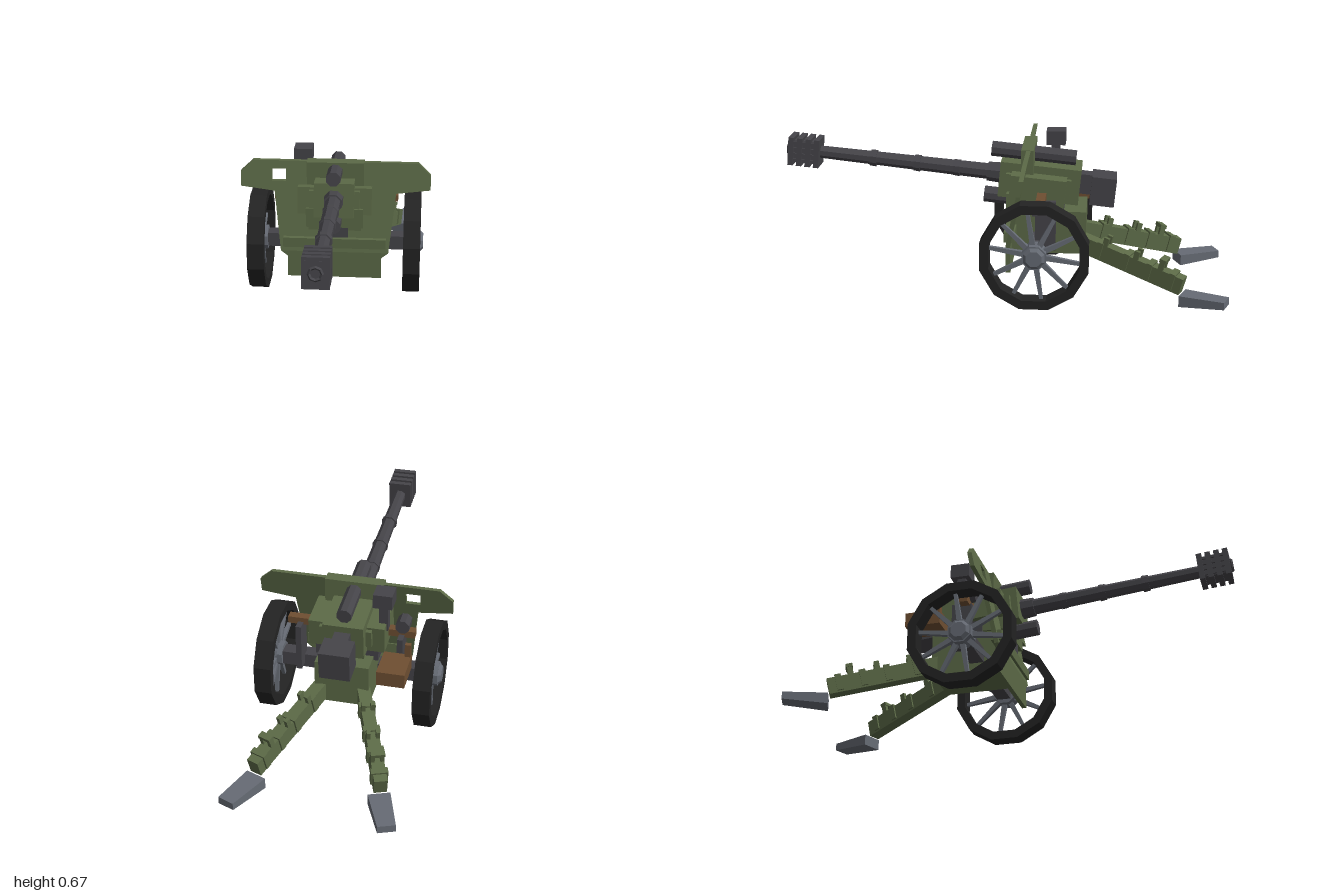
import * as THREE from 'three';

const paint = (name, color) => {
  const m = new THREE.MeshStandardMaterial({ color, flatShading: true });
  m.name = name;
  return m;
};

export function createModel() {
  const green = paint('olive paint', 0x5c6a47);
  const metal = paint('gun metal', 0x454449);
  const steel = paint('wheel steel', 0x666b74);
  const rubber = paint('tyre black', 0x232323);
  const wood = paint('brown wood', 0x6f4f32);

  const model = new THREE.Group();
  model.name = 'fieldGun';

  const add = (parent, name, geo, mat, x = 0, y = 0, z = 0) => {
    const mesh = new THREE.Mesh(geo, mat);
    mesh.name = name;
    mesh.position.set(x, y, z);
    parent.add(mesh);
    return mesh;
  };
  // Box given by its lower and upper limits on each axis
  const block = (parent, name, mat, [x0, x1], [y0, y1], [z0, z1]) =>
    add(parent, name, new THREE.BoxGeometry(x1 - x0, y1 - y0, z1 - z0), mat,
      (x0 + x1) / 2, (y0 + y1) / 2, (z0 + z1) / 2);
  // Octagonal rod along z, from z0 (radius r0) to z1 (radius r1)
  const rod = (parent, name, mat, r0, r1, z0, z1, x = 0, y = 0) => {
    const g = new THREE.CylinderGeometry(r1, r0, z1 - z0, 8);
    g.rotateY(Math.PI / 8).rotateX(Math.PI / 2);
    return add(parent, name, g, mat, x, y, (z0 + z1) / 2);
  };

  // Shield: leaning upper plate with a sight window, upright lower apron
  const plate = (name, half, slope, hole) => {
    const pts = [...half, ...half.slice().reverse().map(([x, y]) => [-x, y])];
    const shape = new THREE.Shape(pts.map(([x, y]) => new THREE.Vector2(x, y)));
    if (hole) shape.holes.push(new THREE.Path(hole.map(([x, y]) => new THREE.Vector2(x, y))));
    const g = new THREE.ExtrudeGeometry(shape, { depth: 0.02, bevelEnabled: false });
    const p = g.attributes.position;
    for (let i = 0; i < p.count; i++) p.setZ(i, p.getZ(i) - 0.04 - (p.getY(i) - 0.226) * slope);
    g.computeVertexNormals();
    add(model, name, g, green);
  };
  plate('upperShield',
    [[0.247, 0.226], [0.277, 0.499], [0.432, 0.518], [0.432, 0.585], [0.375, 0.637]], 0.2,
    [[-0.29, 0.545], [-0.29, 0.6], [-0.225, 0.6], [-0.225, 0.545]]);
  plate('lowerShield', [[0.215, 0.1], [0.215, 0.2], [0.247, 0.226]], 0);
  block(model, 'shieldLedge', green, [-0.235, 0.235], [0.248, 0.294], [-0.06, -0.012]);
  block(model, 'shieldCrown', green, [-0.13, 0.13], [0.53, 0.639], [-0.135, -0.08]);

  // Carriage and axle
  block(model, 'carriage', green, [-0.12, 0.12], [0.165, 0.36], [-0.37, -0.04]);
  block(model, 'axle', metal, [-0.33, 0.33], [0.2, 0.265], [-0.19, -0.125]);
  block(model, 'cradleStep', green, [-0.13, 0.13], [0.35, 0.44], [-0.24, -0.015]);
  block(model, 'cradleFoot', metal, [-0.062, 0.062], [0.3, 0.36], [-0.15, -0.018]);
  block(model, 'trunnionBlock', metal, [-0.14, 0.14], [0.34, 0.44], [-0.27, -0.13]);

  // Elevated gun: local origin on the bore axis
  const gun = new THREE.Group();
  gun.name = 'gun';
  gun.position.set(0, 0.498, 0);
  gun.rotation.x = -0.095;
  model.add(gun);
  block(gun, 'gunHousing', green, [-0.09, 0.09], [-0.085, 0.075], [-0.34, 0.02]);
  block(gun, 'housingSides', green, [-0.168, 0.168], [-0.085, 0.04], [-0.28, -0.035]);
  block(gun, 'housingCheeks', green, [-0.115, 0.115], [-0.05, 0.03], [-0.3, -0.01]);
  rod(gun, 'barrelCollar', metal, 0.047, 0.043, 0, 0.08);
  rod(gun, 'barrel', metal, 0.036, 0.028, 0.05, 0.86);
  for (const z of [0.22, 0.4, 0.6]) rod(gun, 'barrelRing', metal, 0.038, 0.036, z - 0.015, z + 0.015);
  rod(gun, 'lowerRecoilCylinder', metal, 0.036, 0.036, -0.1, 0.085, 0, -0.107);
  rod(gun, 'upperRecoilCylinder', metal, 0.034, 0.034, -0.31, 0.07, 0, 0.108);
  block(gun, 'breechNeck', metal, [-0.035, 0.035], [-0.045, 0.045], [-0.4, -0.33]);
  block(gun, 'breechBlock', metal, [-0.067, 0.067], [-0.083, 0.047], [-0.5, -0.39]);

  // Ribbed muzzle brake
  block(gun, 'muzzleCore', metal, [-0.042, 0.042], [-0.05, 0.05], [0.85, 0.985]);
  for (let i = 0; i < 4; i++) {
    const z = 0.843 + i * 0.039;
    block(gun, 'muzzleRib', metal, [-0.054, 0.054], [-0.064, 0.064], [z, z + 0.024]);
  }
  const lip = new THREE.TorusGeometry(0.026, 0.007, 4, 8);
  add(gun, 'muzzleLip', lip, metal, 0, 0, 0.989);
  for (const y of [-0.04, -0.013, 0.013, 0.04])
    block(gun, 'muzzleSlat', metal, [-0.05, 0.05], [y - 0.006, y + 0.006], [0.843, 0.984]);

  // Sight, aiming knobs, seats and crate
  block(model, 'sightBox', metal, [-0.197, -0.113], [0.603, 0.667], [-0.265, -0.178]);
  block(model, 'sightStem', metal, [-0.175, -0.135], [0.48, 0.605], [-0.24, -0.2]);
  rod(model, 'aimingKnob', metal, 0.032, 0.032, -0.2, -0.13, -0.23, 0.48);
  block(model, 'crate', wood, [-0.29, -0.168], [0.335, 0.4], [-0.44, -0.28]);
  block(model, 'crateBack', wood, [-0.288, -0.262], [0.335, 0.46], [-0.3, -0.28]);

  // Wheel pieces shared by both sides, built with the axle along z
  const ring = new THREE.Shape();
  const inner = new THREE.Path();
  for (let i = 0; i < 12; i++) {
    const a = (i + 0.5) * Math.PI / 6, c = Math.cos(a), s = Math.sin(a);
    ring[i ? 'lineTo' : 'moveTo'](c * 0.242, s * 0.242);
    inner[i ? 'lineTo' : 'moveTo'](c * 0.202, s * 0.202);
  }
  ring.closePath();
  inner.closePath();
  ring.holes.push(inner);
  const tyre = new THREE.ExtrudeGeometry(ring, { depth: 0.077, bevelEnabled: false });
  tyre.translate(0, 0, -0.0385);
  const spoke = new THREE.CylinderGeometry(0.011, 0.017, 0.17, 4);
  spoke.rotateY(Math.PI / 4).translate(0, 0.115, 0);

  for (const s of [-1, 1]) {
    const wheel = new THREE.Group();
    wheel.name = s > 0 ? 'leftWheel' : 'rightWheel';
    wheel.position.set(s * 0.3535, 0.234, -0.155);
    wheel.rotation.y = s * Math.PI / 2;
    model.add(wheel);
    add(wheel, 'tyre', tyre, rubber);
    rod(wheel, 'hub', steel, 0.056, 0.056, -0.035, 0.038);
    rod(wheel, 'hubCap', steel, 0.05, 0.036, 0.038, 0.052);
    for (let i = 0; i < 10; i++) add(wheel, 'spoke', spoke, steel).rotation.z = (i + 0.25) * Math.PI / 5;

    // Seat and bracket beside the shield
    const span = (a, b) => (s > 0 ? [a, b] : [-b, -a]);
    block(model, 'seat', wood, span(0.168, 0.285), [0.428, 0.46], [-0.195, -0.155]);
    block(model, 'bracket', metal, span(0.215, 0.24), [0.22, 0.44], [-0.24, -0.15]);

    // Split trail leg, local +z runs to the rear
    const trail = new THREE.Group();
    trail.name = s > 0 ? 'leftTrail' : 'rightTrail';
    trail.position.set(s * 0.085, 0.22, -0.33);
    trail.lookAt(s * 0.272, 0.085, -0.8);
    model.add(trail);
    block(trail, 'trailBeam', green, [-0.028, 0.028], [-0.038, 0.038], [-0.03, 0.52]);
    for (const z of [0.12, 0.25, 0.36, 0.47])
      block(trail, 'trailBand', green, [-0.036, 0.036], [-0.03, 0.046], [z - 0.014, z + 0.014]);
    for (const z of [0.14, 0.29, 0.41]) {
      block(trail, 'lugPost', green, [-0.028, -0.012], [0.03, 0.075], [z - 0.012, z + 0.012]);
      block(trail, 'lugPost', green, [0.012, 0.028], [0.03, 0.075], [z - 0.012, z + 0.012]);
    }
    block(trail, 'trailHandle', green, [-0.03, 0.03], [0.072, 0.088], [0.395, 0.425]);

    // Ground spade, narrower and thinner at the rear
    const g = new THREE.BoxGeometry(0.095, 0.05, 0.2);
    const p = g.attributes.position;
    for (let i = 0; i < p.count; i++) {
      if (p.getZ(i) > 0) continue;
      p.setX(i, p.getX(i) * 0.8);
      if (p.getY(i) < 0) p.setY(i, -0.008);
    }
    g.computeVertexNormals();
    add(model, 'spade', g, steel, s * 0.3, 0.025, -0.89).rotation.y = -s * 0.37;
  }

  return model;
}
